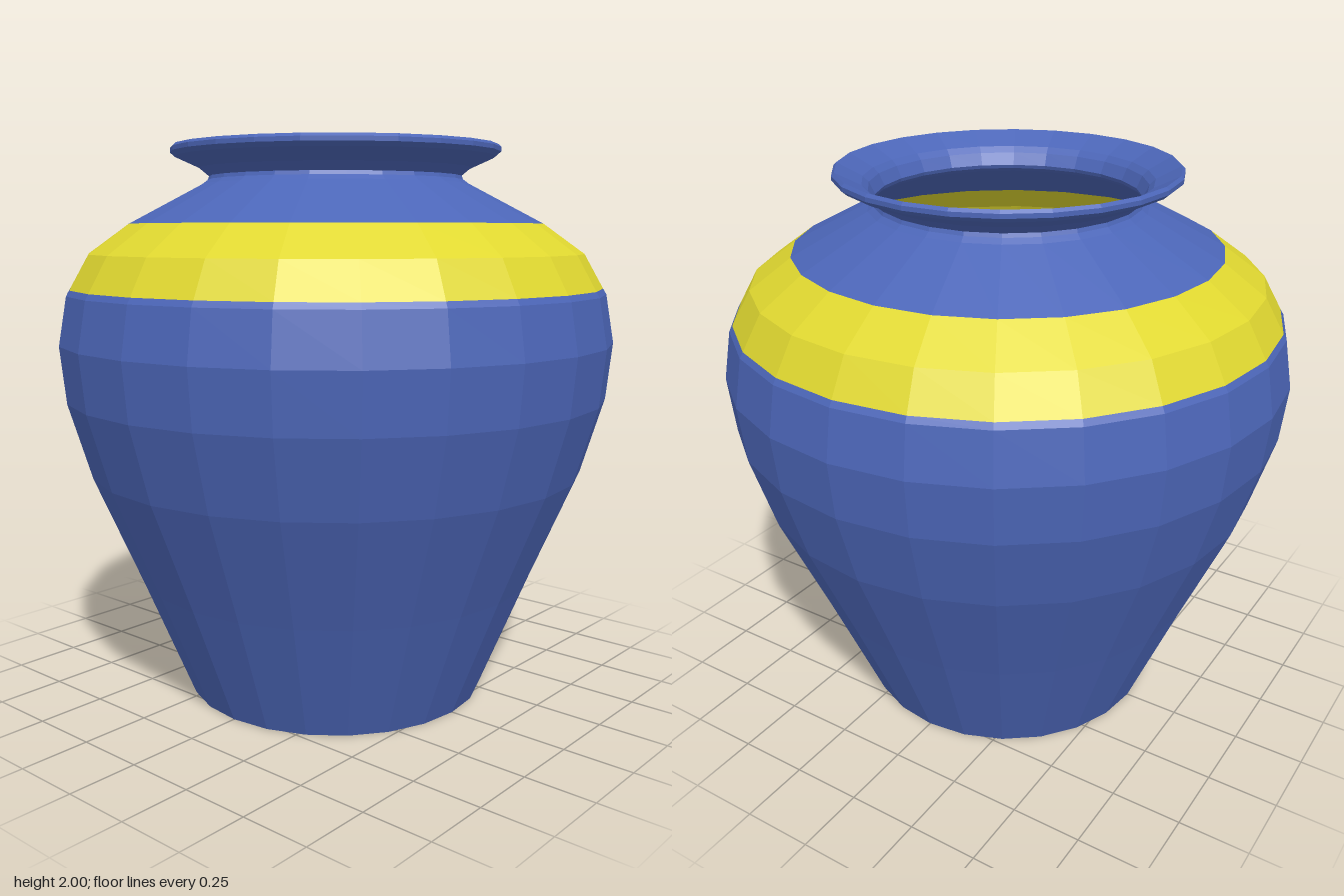
import * as THREE from 'three';

const SIDES = 24;
const look = { flatShading: true, side: THREE.DoubleSide };
const blueGlaze = new THREE.MeshStandardMaterial({ color: 0x4c66b8, ...look });
blueGlaze.name = 'blueGlaze';
const yellowGlaze = new THREE.MeshStandardMaterial({ color: 0xe0d830, ...look });
yellowGlaze.name = 'yellowGlaze';

export function createModel() {
  const vase = new THREE.Group();
  vase.name = 'vase';

  // Turns a profile of [radius, height] pairs into a faceted ring
  const turn = (name, profile, material) => {
    const points = profile.map(([r, y]) => new THREE.Vector2(r, y));
    const mesh = new THREE.Mesh(new THREE.LatheGeometry(points, SIDES), material);
    mesh.name = name;
    vase.add(mesh);
  };

  // Flat base, also the floor seen through the mouth
  const base = new THREE.Mesh(new THREE.CircleGeometry(0.55, SIDES), blueGlaze);
  base.name = 'base';
  base.rotation.x = Math.PI / 2;
  vase.add(base);

  // Thin-walled belly, widest at two thirds of the height
  turn('belly', [
    [0.55, 0], [0.73, 0.44], [0.9, 0.84], [0.98, 1.11],
    [1, 1.31], [0.97, 1.48], [0.958, 1.5],
  ], blueGlaze);

  // Painted band, the same colour inside and out
  turn('band', [[0.958, 1.5], [0.89, 1.62], [0.745, 1.725]], yellowGlaze);

  turn('shoulder', [[0.745, 1.725], [0.48, 1.865], [0.46, 1.88], [0.455, 1.893]], blueGlaze);

  // Flared lip: underside, rounded edge, then the funnel back to the neck
  turn('lip', [
    [0.455, 1.893], [0.49, 1.922], [0.575, 1.96], [0.592, 1.975], [0.592, 1.99],
    [0.582, 2], [0.495, 1.955], [0.475, 1.935], [0.455, 1.893],
  ], blueGlaze);

  return vase;
}
